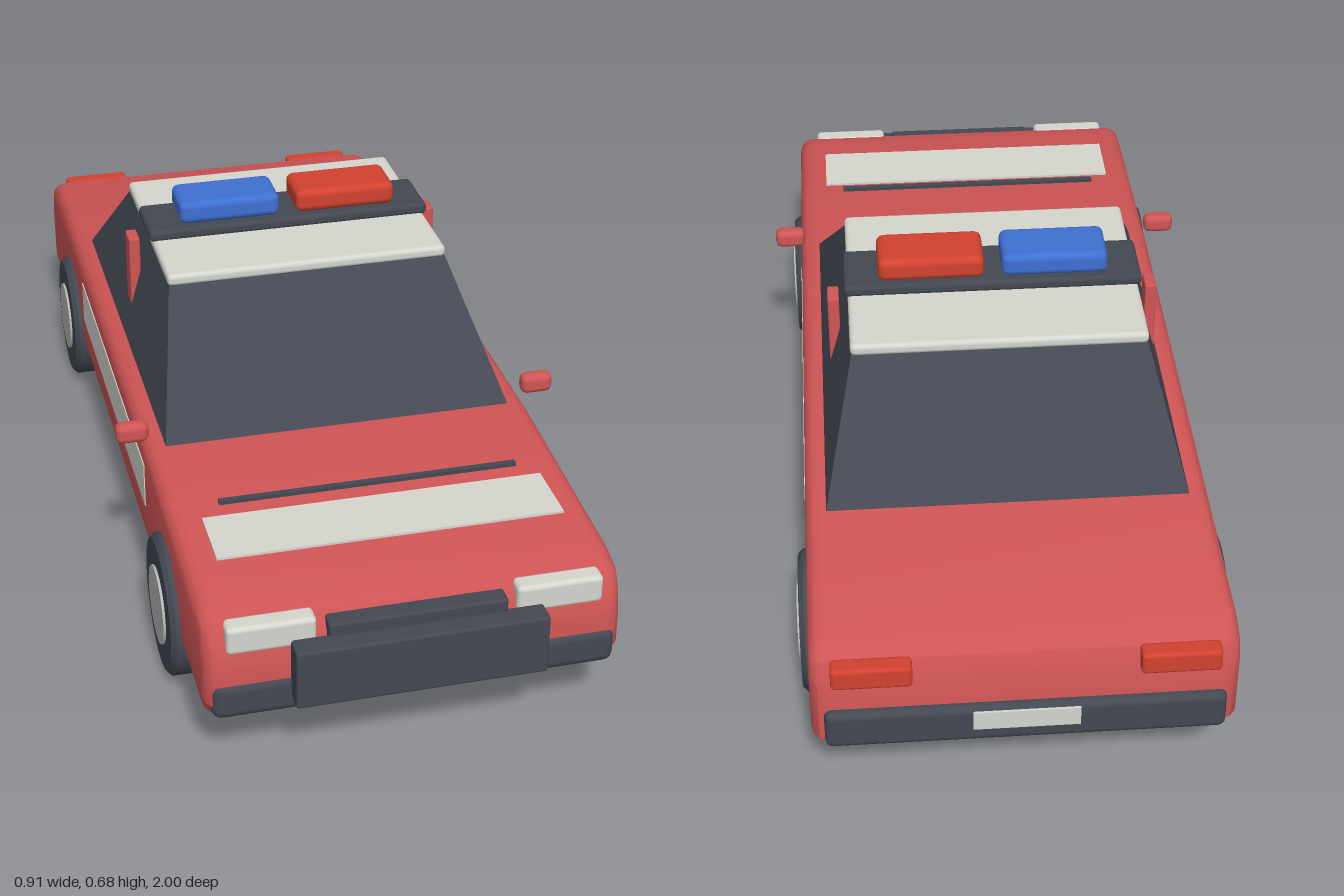
import * as THREE from 'three';
import { toCreasedNormals } from 'three/addons/utils/BufferGeometryUtils.js';
import { RoundedBoxGeometry } from 'three/addons/geometries/RoundedBoxGeometry.js';

function paint(name, color) {
  const m = new THREE.MeshStandardMaterial({ color });
  m.name = name;
  return m;
}

export function createModel() {
  const red = paint('bodyRed', 0xd05555);
  const dark = paint('darkGrey', 0x434852);
  const white = paint('offWhite', 0xd6d6cf);
  const silver = paint('hubSilver', 0xb6b6b6);
  const lampRed = paint('lampRed', 0xd2422f);
  const lampBlue = paint('lampBlue', 0x3f70d2);

  const car = new THREE.Group();
  car.name = 'patrolCar';

  function add(name, geometry, material, x = 0, y = 0, z = 0) {
    const mesh = new THREE.Mesh(geometry, material);
    mesh.name = name;
    mesh.position.set(x, y, z);
    car.add(mesh);
    return mesh;
  }

  // Box given by its ranges, with rounded edges when r > 0
  function block(name, material, [x0, x1], [y0, y1], [z0, z1], r = 0) {
    const w = x1 - x0, h = y1 - y0, d = z1 - z0;
    const geometry = r > 0 ? new RoundedBoxGeometry(w, h, d, 2, r) : new THREE.BoxGeometry(w, h, d);
    return add(name, geometry, material, (x0 + x1) / 2, (y0 + y1) / 2, (z0 + z1) / 2);
  }

  // Same block on the left (+x) and right (-x)
  function pair(name, material, [x0, x1], ys, zs, r) {
    block(name + 'Left', material, [x0, x1], ys, zs, r);
    block(name + 'Right', material, [-x1, -x0], ys, zs, r);
  }

  // Body: side profile (z, y) extruded across the width
  const profile = [
    [0.925, 0.13], [0.955, 0.165], [0.955, 0.24], [0.945, 0.29], [0.92, 0.33], [0.87, 0.345],
    [0.4, 0.372], [-0.9, 0.372], [-0.96, 0.345], [-0.98, 0.3], [-0.978, 0.16], [-0.95, 0.13],
  ].map(([z, y]) => new THREE.Vector2(z, y));
  const bevel = 0.03;
  const body = new THREE.ExtrudeGeometry(new THREE.Shape(profile), {
    depth: 0.8 - 2 * bevel, bevelEnabled: true, bevelSize: bevel,
    bevelThickness: bevel, bevelOffset: -bevel, bevelSegments: 3,
  });
  body.translate(0, 0, -(0.8 - 2 * bevel) / 2).rotateY(-Math.PI / 2);
  add('body', toCreasedNormals(body, 0.6), red);

  // Glass cabin: a box tapered towards the roof
  const cabin = new THREE.BoxGeometry(1, 1, 1);
  const p = cabin.attributes.position;
  for (let i = 0; i < p.count; i++) {
    const top = p.getY(i) > 0, front = p.getZ(i) > 0;
    const x = Math.sign(p.getX(i)) * (top ? 0.295 : 0.36);
    const z = front ? (top ? 0.11 : 0.385) : (top ? -0.355 : -0.578);
    p.setXYZ(i, x, top ? 0.595 : 0.365, z);
  }
  cabin.computeVertexNormals();
  add('cabinGlass', cabin, dark);
  pair('doorPillar', red, [0.316, 0.34], [0.4, 0.592], [-0.165, -0.115], 0.004);

  // Roof and light bar
  block('roof', white, [-0.298, 0.298], [0.588, 0.614], [-0.362, 0.115], 0.01);
  block('lightBarBase', dark, [-0.305, 0.305], [0.61, 0.636], [-0.19, -0.05], 0.01);
  block('redBeacon', lampRed, [0.018, 0.235], [0.636, 0.686], [-0.178, -0.065], 0.015);
  block('blueBeacon', lampBlue, [-0.235, -0.018], [0.636, 0.686], [-0.178, -0.065], 0.015);

  // Side mirrors
  pair('mirror', red, [0.39, 0.456], [0.385, 0.427], [0.342, 0.377], 0.014);

  // Painted panels
  pair('doorStripe', white, [0.396, 0.402], [0.225, 0.322], [-0.455, 0.357]);
  block('hoodStripe', white, [-0.338, 0.338], [0.364, 0.369], [0.64, 0.778]);
  block('hoodVent', dark, [-0.298, 0.298], [0.372, 0.38], [0.598, 0.61]);

  // Nose
  pair('headlight', white, [0.19, 0.358], [0.275, 0.333], [0.91, 0.953], 0.01);
  block('grille', dark, [-0.17, 0.17], [0.25, 0.32], [0.915, 0.962], 0.006);
  block('frontBumper', dark, [-0.387, 0.387], [0.137, 0.215], [0.89, 0.962], 0.02);
  block('pushBar', dark, [-0.24, 0.24], [0.17, 0.294], [0.952, 1.0], 0.006);

  // Tail
  pair('tailLight', lampRed, [0.21, 0.36], [0.3, 0.348], [-0.993, -0.955], 0.008);
  block('rearBumper', dark, [-0.375, 0.375], [0.155, 0.24], [-0.997, -0.94], 0.015);
  block('numberPlate', white, [-0.1, 0.1], [0.19, 0.232], [-1.0, -0.994]);

  // Wheels: lathed tyre and a thin hub disc, axle along x
  const half = 0.055, R = 0.142, c = 0.01;
  const section = [[0, -half], [R - c, -half], [R, -half + c], [R, half - c], [R - c, half], [0, half]];
  const tyre = toCreasedNormals(
    new THREE.LatheGeometry(section.map(([r, y]) => new THREE.Vector2(r, y)), 32).rotateZ(-Math.PI / 2), 0.6);
  const hub = new THREE.CylinderGeometry(0.079, 0.079, 0.02, 32).rotateZ(-Math.PI / 2);
  for (const [end, z] of [['front', 0.588], ['rear', -0.633]]) {
    for (const [side, s] of [['Left', 1], ['Right', -1]]) {
      add(end + 'Tyre' + side, tyre, dark, s * 0.364, R + 0.003, z);
      add(end + 'Hub' + side, hub, silver, s * 0.414, R + 0.003, z);
    }
  }

  return car;
}
